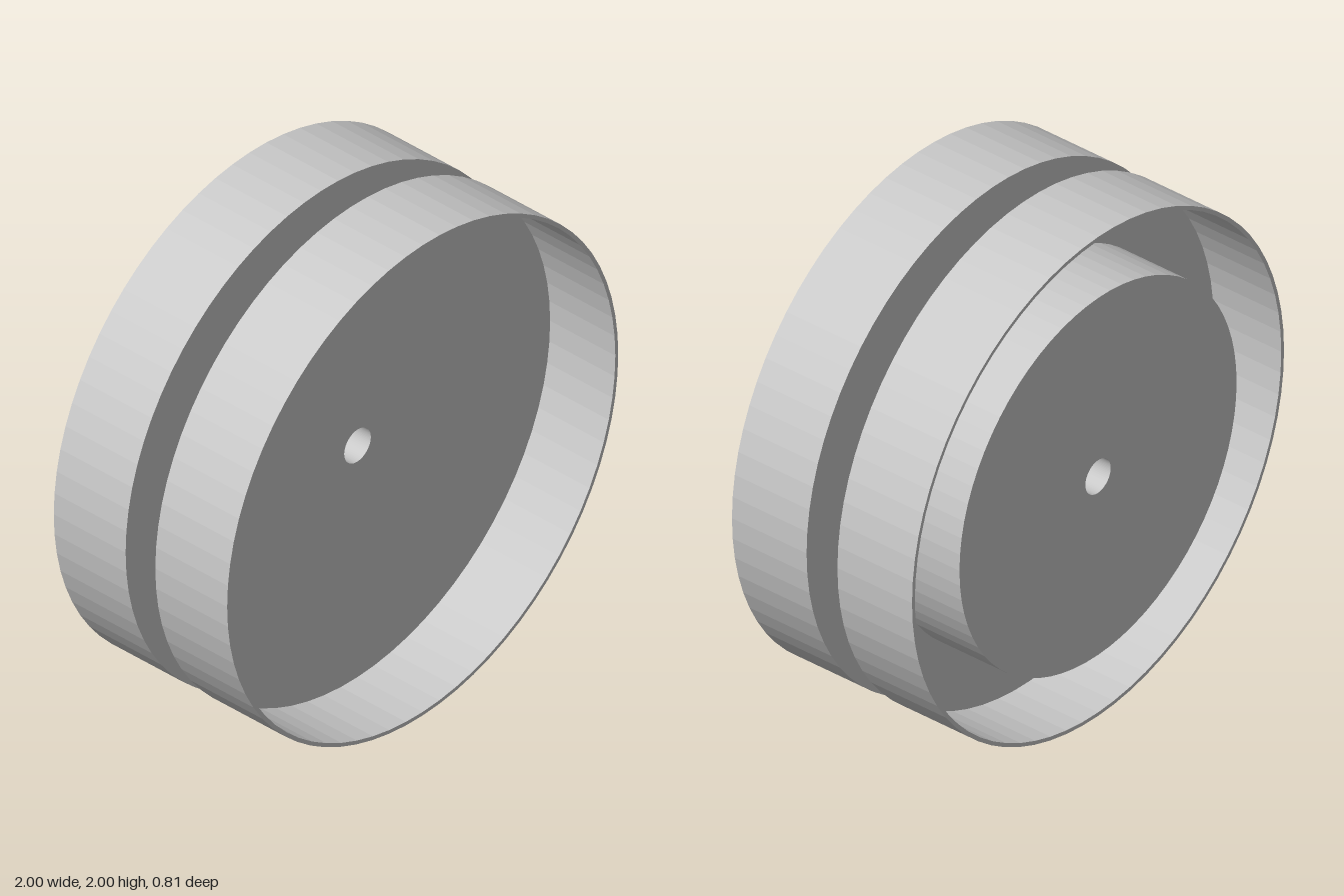
import * as THREE from 'three';

const SEGMENTS = 72;

// Revolve a closed [radius, z] profile around the z axis, with faceted sides
function revolve(name, profile, material) {
  const points = profile.map(([r, z]) => new THREE.Vector2(r, z));
  points.push(points[0].clone());
  const geometry = new THREE.LatheGeometry(points, SEGMENTS).rotateX(Math.PI / 2).toNonIndexed();
  geometry.computeVertexNormals();
  const mesh = new THREE.Mesh(geometry, material);
  mesh.name = name;
  return mesh;
}

export function createModel() {
  const material = new THREE.MeshStandardMaterial({ color: 0xcccccc, flatShading: true });

  const outer = 1, inner = 0.985;   // thin rim walls
  const drum = 0.745, bore = 0.068; // central drum and axle hole
  const end = 0.403, web = 0.1, groove = 0.069;

  const group = new THREE.Group();
  group.name = 'groovedWheel';
  const wheel = revolve('wheelBody', [
    // back face of the drum and the ring-shaped recess around it
    [bore, -end], [drum, -end], [drum, -web], [inner, -web], [inner, -end],
    // rear rim, middle groove, front rim
    [outer, -end], [outer, -groove], [drum, -groove],
    [drum, groove], [outer, groove], [outer, end],
    // front recess and its floor, closing along the axle hole
    [inner, end], [inner, web], [bore, web],
  ], material);
  wheel.position.y = outer;
  group.add(wheel);
  return group;
}
